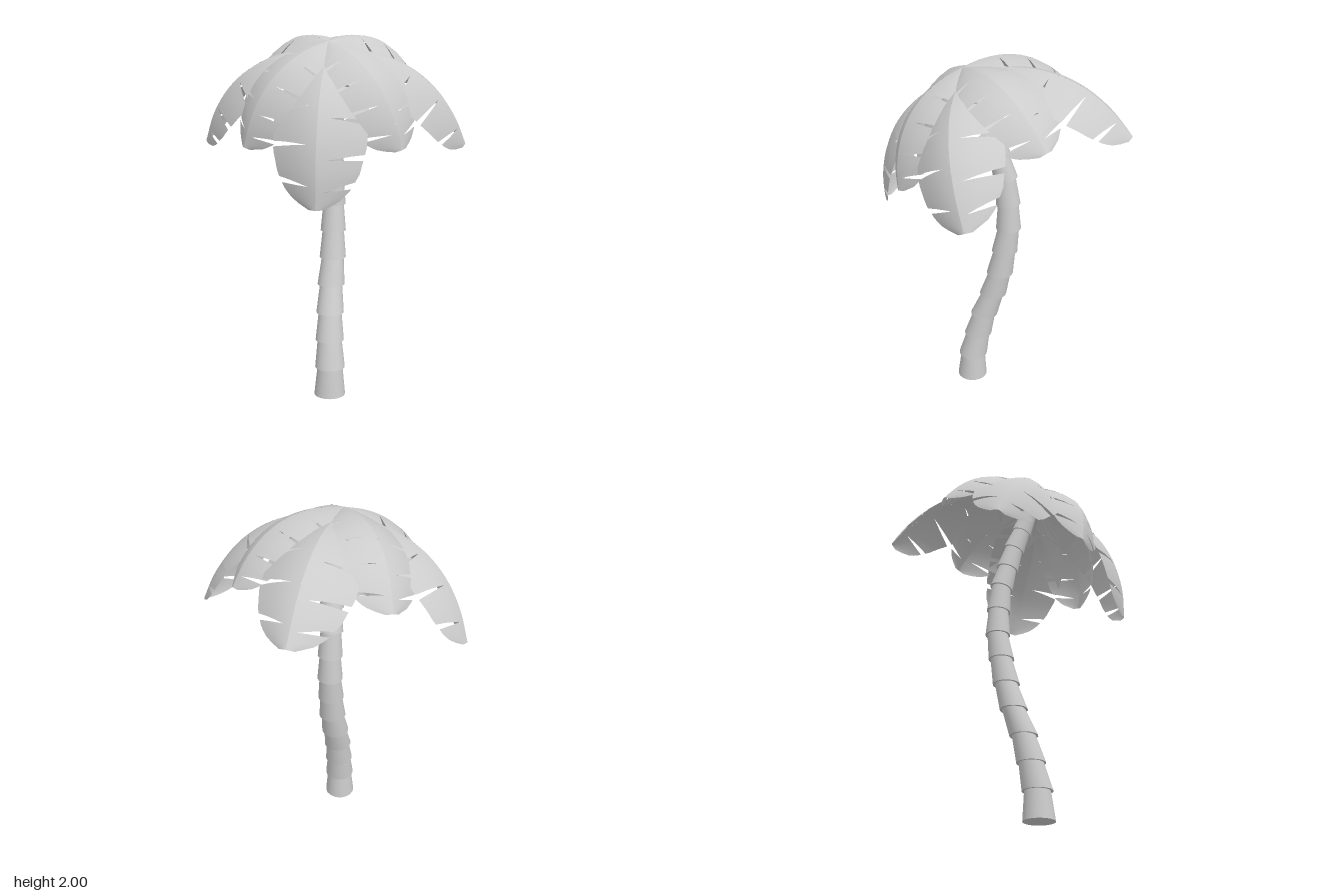
import * as THREE from 'three';
import { mergeVertices } from 'three/addons/utils/BufferGeometryUtils.js';

const V = (x, y, z) => new THREE.Vector3(x, y, z);
const UP = V(0, 1, 0);
const bark = new THREE.MeshStandardMaterial({ color: 0xcccccc });
const leafMat = new THREE.MeshStandardMaterial({ color: 0xcccccc, side: THREE.DoubleSide });

// Half-width of a frond along its length (0 at the crown, 1 at the tip), as a fraction of its widest half
const PROFILE = [[0, 0.03], [0.06, 0.32], [0.14, 0.66], [0.3, 0.94], [0.48, 1], [0.68, 0.97], [0.82, 0.85], [0.91, 0.68], [0.96, 0.48], [1, 0.16]];
function halfWidth(s) {
  let i = 1;
  while (i < PROFILE.length - 1 && s > PROFILE[i][0]) i++;
  const [a, wa] = PROFILE[i - 1], [b, wb] = PROFILE[i];
  return THREE.MathUtils.lerp(wa, wb, (s - a) / (b - a));
}

// Arched frond of chord length 1 along +x: both halves slope down from the midrib,
// with wedge slits cut in from the edges
function frondGeometry(width, drop) {
  const rib = new THREE.CatmullRomCurve3(
    [0, 0.16, 0.33, 0.5, 0.67, 0.84, 1].map(u => V(u, 0.74 * u * (1 - u), 0)));
  const cuts = { 1: [0, 0.26, 0.47, 0.68, 0.89, 1], '-1': [0, 0.32, 0.54, 0.76, 0.92, 1] };
  const across = [0, 0.22, 0.48, 0.74, 1];
  const rows = 5, cols = across.length, pos = [], idx = [];

  for (const side of [1, -1]) {
    const c = cuts[side];
    for (let k = 0; k < c.length - 1; k++) {
      const start = pos.length / 3;
      const last = k === c.length - 2;
      for (let a = 0; a <= rows; a++) {
        for (const t of across) {
          // each leaflet narrows outwards, leaving a slightly slanted slit
          const open = 0.018 * Math.max(0, (t - 0.22) / 0.78), slant = -0.035 * t;
          const s0 = c[k] + (k > 0 ? open + slant : 0);
          const s1 = c[k + 1] + (last ? 0 : slant - open);
          const s = THREE.MathUtils.lerp(s0, s1, a / rows);
          const T = rib.getTangentAt(s);
          const w = halfWidth(s) * width;
          const p = rib.getPointAt(s).addScaledVector(V(-T.y, T.x, 0), -drop * w * t ** 1.5);
          pos.push(p.x, p.y, side * w * t);
        }
      }
      for (let a = 0; a < rows; a++) {
        for (let b = 0; b < cols - 1; b++) {
          const i = start + a * cols + b, j = i + cols;
          if (side > 0) idx.push(i, i + 1, j, j, i + 1, j + 1);
          else idx.push(i, j, i + 1, j, j + 1, i + 1);
        }
      }
    }
  }
  const geo = new THREE.BufferGeometry();
  geo.setAttribute('position', new THREE.Float32BufferAttribute(pos, 3));
  geo.setIndex(idx);
  const welded = mergeVertices(geo, 1e-4);
  welded.computeVertexNormals();
  return welded;
}

// Crown: four long fronds on the diagonals under four shorter ones, leaning with the trunk top
function makeCrown() {
  const crown = new THREE.Group();
  crown.name = 'crown';
  crown.position.set(-0.115, 1.932, 0.103);
  crown.quaternion.setFromUnitVectors(UP, V(-0.253, 0.934, 0.253).normalize());
  const longGeo = frondGeometry(0.265, 0.5), shortGeo = frondGeometry(0.32, 0.4);
  const names = ['left', 'backLeft', 'back', 'backRight', 'right', 'frontRight', 'front', 'frontLeft'];
  names.forEach((name, i) => {
    const long = i % 2 === 1;
    const frond = new THREE.Mesh(long ? longGeo : shortGeo, leafMat);
    frond.name = name + 'Frond';
    frond.rotation.set(0, i * Math.PI / 4, THREE.MathUtils.degToRad(long ? -37 : -36), 'YXZ');
    frond.scale.setScalar(long ? 0.91 : 0.71);
    frond.position.y = long ? 0 : 0.04;
    crown.add(frond);
  });
  return crown;
}

// Curved trunk of stacked, flared segments
function makeTrunk() {
  const trunk = new THREE.Group();
  trunk.name = 'trunk';
  // joint height, x, z, radius of the flared lower rim
  const joints = [
    [0, -0.103, 0.094, 0.0875], [0.16, -0.098, 0.09, 0.084], [0.31, -0.08, 0.064, 0.08],
    [0.46, -0.055, 0.035, 0.078], [0.61, -0.018, -0.004, 0.077], [0.76, 0.014, -0.03, 0.075],
    [0.91, 0.033, -0.05, 0.072], [1.06, 0.047, -0.066, 0.07], [1.21, 0.045, -0.064, 0.068],
    [1.36, 0.034, -0.053, 0.066], [1.49, 0.014, -0.025, 0.064], [1.62, -0.01, 0.003, 0.062],
    [1.74, -0.042, 0.035, 0.058], [1.86, -0.075, 0.065, 0.05]];
  for (let i = 0; i < joints.length - 1; i++) {
    const [y0, x0, z0, r] = joints[i], [y1, x1, z1] = joints[i + 1];
    const from = V(x0, y0, z0), dir = V(x1, y1, z1).sub(from);
    const len = dir.length() + 0.01;
    dir.normalize();
    // rims stay level low down and follow the bend higher up
    const rim = new THREE.Quaternion().setFromUnitVectors(UP, i < 7 ? UP : dir);
    const geo = new THREE.CylinderGeometry(r * 0.8, r, len, 20).translate(0, len / 2, 0);
    geo.applyMatrix4(new THREE.Matrix4().makeBasis(
      V(1, 0, 0).applyQuaternion(rim), dir, V(0, 0, 1).applyQuaternion(rim)));
    const seg = new THREE.Mesh(geo, bark);
    seg.position.copy(from);
    seg.name = 'trunkSegment' + (i + 1);
    trunk.add(seg);
  }
  return trunk;
}

export function createModel() {
  const palm = new THREE.Group();
  palm.name = 'palmTree';
  palm.add(makeTrunk(), makeCrown());
  return palm;
}
